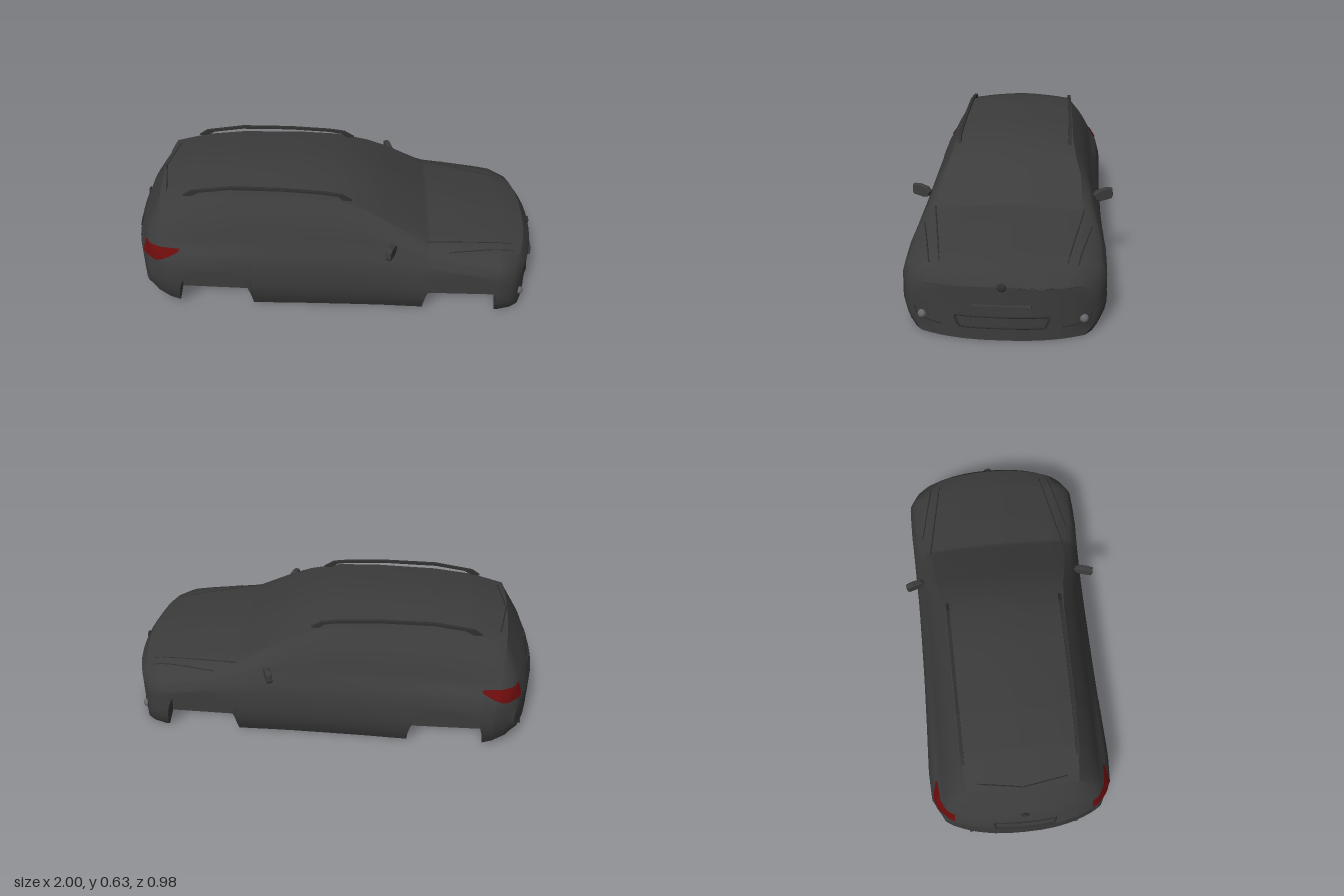
import * as THREE from 'three';
import { toCreasedNormals } from 'three/addons/utils/BufferGeometryUtils.js';

const paint = new THREE.MeshStandardMaterial({ color: 0x3c3c3c, side: THREE.DoubleSide });
const trim = new THREE.MeshStandardMaterial({ color: 0x303030, side: THREE.DoubleSide });
const red = new THREE.MeshStandardMaterial({ color: 0x6a0c0c, side: THREE.DoubleSide });
const lens = new THREE.MeshStandardMaterial({ color: 0x66666a });

// Body stations: x, half width, belt y, belt z, roof edge y, roof edge z, centre y
const STATIONS = [
  [-1.0, 0.39, 0.25, 0.365, 0.27, 0.34, 0.28],
  [-0.975, 0.405, 0.31, 0.37, 0.34, 0.33, 0.36],
  [-0.945, 0.42, 0.34, 0.38, 0.405, 0.31, 0.43],
  [-0.875, 0.44, 0.36, 0.39, 0.51, 0.27, 0.53],
  [-0.86, 0.445, 0.36, 0.39, 0.54, 0.262, 0.558],
  [-0.68, 0.452, 0.37, 0.39, 0.575, 0.275, 0.6],
  [-0.5, 0.447, 0.375, 0.392, 0.588, 0.285, 0.615],
  [-0.2, 0.441, 0.375, 0.393, 0.59, 0.288, 0.615],
  [0, 0.44, 0.372, 0.394, 0.578, 0.292, 0.601],
  [0.15, 0.44, 0.367, 0.395, 0.535, 0.308, 0.562],
  [0.25, 0.441, 0.36, 0.397, 0.485, 0.33, 0.512],
  [0.45, 0.447, 0.335, 0.41, 0.38, 0.345, 0.404],
  [0.6, 0.452, 0.312, 0.425, 0.36, 0.335, 0.387],
  [0.85, 0.45, 0.27, 0.43, 0.322, 0.35, 0.345],
  [0.945, 0.43, 0.235, 0.41, 0.295, 0.33, 0.318],
  [0.985, 0.4, 0.2, 0.385, 0.245, 0.33, 0.26],
];
const SILL = [[-1, 0.1], [-0.95, 0.06], [-0.78, 0.02], [-0.4, 0.008], [1, 0.002]];
const ARCHES = [-0.595, 0.628], ARCH_R = 0.19, WELL_Z = 0.3;

// Linear lookup in a table of rows sorted by their first number
function sample(table, x) {
  let i = 1;
  while (i < table.length - 1 && table[i][0] < x) i++;
  const a = table[i - 1], b = table[i];
  const t = THREE.MathUtils.clamp((x - a[0]) / (b[0] - a[0]), 0, 1);
  return a.map((v, k) => v + (b[k] - v) * t);
}

// Ends curve back towards the corners in plan
function bow(x, z) {
  const w = THREE.MathUtils.clamp((Math.abs(x) - 0.72) / 0.26, 0, 1) ** 1.5;
  return x - Math.sign(x) * w * 0.09 * (Math.abs(z) / 0.4) ** 2.5;
}

// Half cross-section [z, y], from floor centre round the wheel well and side to roof centre
function section(x) {
  const [, W, beltY, beltZ, edgeY, edgeZ, topY] = sample(STATIONS, x);
  const floor = sample(SILL, x)[1];
  let low = floor;
  for (const c of ARCHES) {
    const u = Math.abs(x - c) / ARCH_R;
    if (u < 1) low = floor + (0.24 - floor) * (1 - u ** 3.5) ** 0.5;
  }
  const side = [[0, W - 0.045], [0.18, W - 0.014], [0.42, W], [0.68, W - 0.004], [0.85, (W + beltZ) / 2 + 0.008], [1, beltZ]];
  const pts = [[0, floor], [WELL_Z, floor], [WELL_Z, low]];
  for (let i = 0; i <= 8; i++) {
    const y = low + (beltY - low) * i / 8;
    pts.push([sample(side, (y - floor) / (beltY - floor))[1], y]);
  }
  for (let i = 1; i <= 5; i++) {
    const t = i / 5;
    pts.push([beltZ + (edgeZ - beltZ) * t + 0.012 * Math.sin(Math.PI * t), beltY + (edgeY - beltY) * t]);
  }
  for (let i = 4; i >= 0; i--) {
    const s = i / 5;
    pts.push([edgeZ * s, edgeY + (topY - edgeY) * (1 - s ** 1.6)]);
  }
  return pts;
}

// Grid of points to an indexed surface
function gridGeometry(rows, wrap) {
  const n = rows[0].length, index = [];
  for (let i = 0; i < rows.length - 1; i++) {
    for (let j = 0; j < (wrap ? n : n - 1); j++) {
      const k = (j + 1) % n, a = i * n, b = a + n;
      index.push(a + j, b + j, a + k, b + j, b + k, a + k);
    }
  }
  const g = new THREE.BufferGeometry();
  g.setAttribute('position', new THREE.Float32BufferAttribute(rows.flat(2), 3));
  g.setIndex(index);
  return g;
}

function bodyGeometry() {
  const xs = STATIONS.map((s) => s[0]);
  for (const c of ARCHES) {
    for (const u of [0, 0.2, 0.4, 0.6, 0.75, 0.87, 0.95, 0.985, 1]) xs.push(c - u * ARCH_R, c + u * ARCH_R);
  }
  xs.sort((a, b) => a - b);
  const ring = (x, k) => {
    const half = section(x);
    const full = [...half, ...half.slice(1, -1).reverse().map(([z, y]) => [-z, y])];
    return full.map(([z, y]) => [bow(x, z * k), y, z * k]);
  };
  const list = xs.filter((x, i) => i === 0 || x - xs[i - 1] > 0.002);
  const caps = [0, 0.25, 0.5, 0.75];
  const rows = [
    ...caps.map((k) => ring(-1, k)),
    ...list.map((x) => ring(x, 1)),
    ...caps.reverse().map((k) => ring(0.985, k)),
  ];
  return toCreasedNormals(gridGeometry(rows, true), 0.6);
}

export function createModel() {
  const car = new THREE.Group();
  car.name = 'car';
  const add = (name, geometry, material, x = 0, y = 0, z = 0) => {
    const m = new THREE.Mesh(geometry, material);
    m.name = name;
    m.position.set(x, y, z);
    car.add(m);
    return m;
  };
  const addPair = (name, geometry, material, x = 0, y = 0, z = 0) => {
    add(name + 'Left', geometry, material, x, y, z);
    add(name + 'Right', geometry, material, x, y, -z).scale.z = -1;
  };

  const body = add('body', bodyGeometry(), paint);

  // Drop a point onto the body along a direction, raised by a small offset
  const onBody = (origin, dir, lift) => {
    const d = dir.clone().normalize();
    const hit = new THREE.Raycaster(origin, d).intersectObject(body)[0];
    return (hit ? hit.point : origin.clone().addScaledVector(d, 1)).addScaledVector(d, -lift);
  };
  // Thin bead following the body through the given points
  const bead = (points, dir, closed, radius = 0.003) => {
    const out = [], count = closed ? points.length : points.length - 1;
    for (let i = 0; i < count; i++) {
      const a = new THREE.Vector3(...points[i]), b = new THREE.Vector3(...points[(i + 1) % points.length]);
      for (let k = 0; k < 8; k++) out.push(onBody(a.clone().lerp(b, k / 8), dir, 0));
    }
    if (!closed) out.push(onBody(new THREE.Vector3(...points.at(-1)), dir, 0));
    const curve = new THREE.CatmullRomCurve3(out, closed, 'catmullrom', 0);
    return new THREE.TubeGeometry(curve, out.length * 2, radius, 5, closed);
  };
  const down = new THREE.Vector3(0, -1, 0), back = new THREE.Vector3(-1, 0, 0), ahead = new THREE.Vector3(1, 0, 0);

  // Tail lights wrapping round the rear corners
  const lightRows = [];
  for (let i = 0; i <= 14; i++) {
    const t = i / 14, a = THREE.MathUtils.degToRad(20 + 53 * t);
    const low = 0.292 + 0.05 * Math.max(0, (t - 0.5) / 0.5), high = 0.36 - 0.006 * t;
    const dir = new THREE.Vector3(Math.cos(a), 0, -Math.sin(a));
    lightRows.push([0, 1, 2, 3, 4].map((j) => {
      const target = new THREE.Vector3(-0.7, low + (high - low) * j / 4, 0.25);
      return onBody(target.addScaledVector(dir, -1), dir, 0.006).toArray();
    }));
  }
  const light = gridGeometry(lightRows, false);
  light.computeVertexNormals();
  addPair('tailLight', light, red);

  // Bonnet and headlight creases, tailgate seam
  addPair('bonnetCrease', bead([[0.44, 1, 0.35], [0.87, 1, 0.275]], down, false), trim);
  addPair('headlightCrease', bead([[0.55, 1, 0.385], [0.87, 1, 0.32]], down, false), trim);
  add('spoilerSeam', bead([[-0.82, 1, 0.21], [-0.855, 1, 0], [-0.82, 1, -0.21]], down, false), trim);

  // Nose: lower grille, fog lamp pods, plate and round boss
  add('lowerGrille', bead([[2, 0.115, -0.205], [2, 0.115, 0.205], [2, 0.062, 0.185], [2, 0.062, -0.185]], back, true, 0.005), trim);
  addPair('fogPod', bead([[2, 0.115, 0.385], [2, 0.07, 0.37], [2, 0.06, 0.26]], back, false), trim);
  const fog = onBody(new THREE.Vector3(2, 0.085, 0.35), back, 0);
  addPair('fogLamp', new THREE.SphereGeometry(0.02, 16, 10), lens, fog.x, fog.y, fog.z);
  add('frontPlate', new THREE.BoxGeometry(0.02, 0.044, 0.25), paint, 0.99, 0.152, 0);
  const boss = new THREE.SphereGeometry(0.02, 16, 10).scale(0.4, 1, 1);
  for (const [name, x, y, dir] of [['frontBoss', 2, 0.257, back], ['rearBoss', -2, 0.4, ahead]]) {
    const p = onBody(new THREE.Vector3(x, y, 0), dir, 0);
    add(name, boss, trim, p.x, p.y, 0);
  }

  // Tail: plate recess frame and exhaust tips
  add('rearPlateFrame', bead([[-2, 0.335, -0.15], [-2, 0.335, 0.15], [-2, 0.285, 0.14], [-2, 0.285, -0.14]], ahead, true, 0.005), trim);
  addPair('exhaustTip', new THREE.CylinderGeometry(0.014, 0.014, 0.06, 12).rotateZ(Math.PI / 2), trim, -0.935, 0.063, 0.26);

  // Roof rails: slim bars with a foot at each end
  const rail = new THREE.Shape([
    [-0.73, 0.575], [-0.69, 0.602], [-0.5, 0.629], [-0.25, 0.627], [-0.05, 0.614], [0.03, 0.602], [0.08, 0.57],
    [0.04, 0.57], [0.015, 0.592], [-0.05, 0.603], [-0.25, 0.616], [-0.5, 0.617], [-0.65, 0.597], [-0.69, 0.575],
  ].map(([x, y]) => new THREE.Vector2(x, y)));
  const railGeometry = new THREE.ExtrudeGeometry(rail, { depth: 0.016, bevelEnabled: false }).translate(0, 0, -0.008);
  railGeometry.rotateY(-0.012);
  addPair('roofRail', railGeometry, trim, 0, 0, 0.277);

  // Door mirrors, swept slightly back
  const mirror = new THREE.Shape([
    [0, 0.03], [0.01, 0.006], [0.03, 0], [0.085, 0.008], [0.09, 0.02], [0.088, 0.052], [0.06, 0.056], [0.015, 0.045],
  ].map(([z, y]) => new THREE.Vector2(-z, y)));
  const mirrorGeometry = new THREE.ExtrudeGeometry(mirror, {
    depth: 0.012, bevelThickness: 0.008, bevelSize: 0.003, bevelSegments: 2,
  }).rotateY(Math.PI / 2).rotateY(-0.35);
  addPair('doorMirror', mirrorGeometry, paint, 0.28, 0.364, 0.395);

  return car;
}
